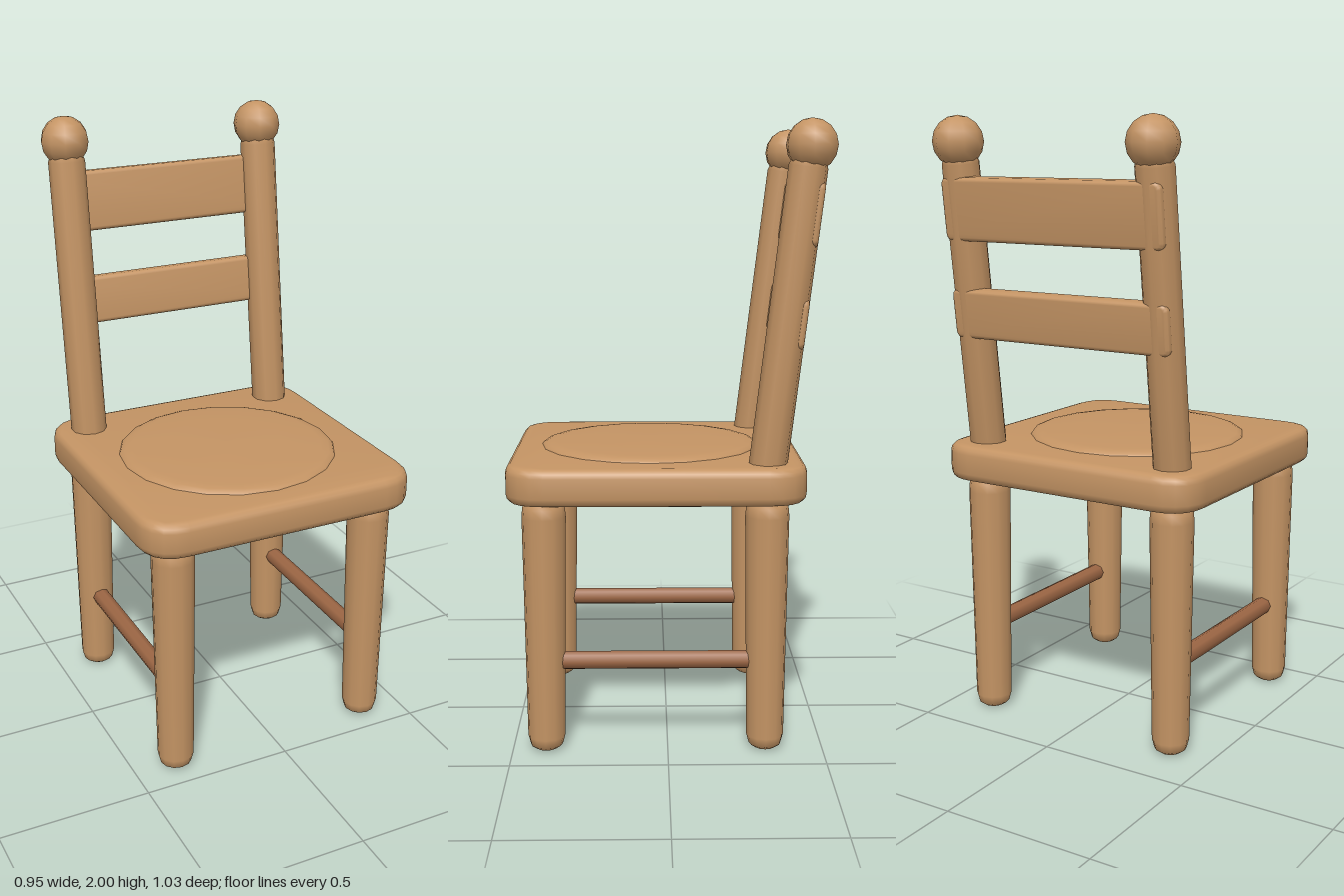
import * as THREE from 'three';
import { toCreasedNormals } from 'three/addons/utils/BufferGeometryUtils.js';

const wood = new THREE.MeshStandardMaterial({ color: 0xc49464 });
wood.name = 'wood';
const darkWood = new THREE.MeshStandardMaterial({ color: 0x9c6644 });
darkWood.name = 'darkWood';

function lathe(points, sides) {
  return new THREE.LatheGeometry(points.map(([r, y]) => new THREE.Vector2(r, y)), sides);
}

// Box with rounded corners in plan and softened edges, extruded along z and centred
function softSlab(w, h, d, corner, bevel) {
  const x = w / 2 - bevel, y = h / 2 - bevel, c = corner;
  const s = new THREE.Shape();
  s.moveTo(-x + c, -y);
  s.lineTo(x - c, -y);
  s.quadraticCurveTo(x, -y, x, -y + c);
  s.lineTo(x, y - c);
  s.quadraticCurveTo(x, y, x - c, y);
  s.lineTo(-x + c, y);
  s.quadraticCurveTo(-x, y, -x, y - c);
  s.lineTo(-x, -y + c);
  s.quadraticCurveTo(-x, -y, -x + c, -y);
  const g = new THREE.ExtrudeGeometry(s, {
    depth: d - 2 * bevel, bevelEnabled: true, bevelSize: bevel,
    bevelThickness: bevel, bevelSegments: 3, curveSegments: 5,
  });
  g.translate(0, 0, -d / 2 + bevel);
  return toCreasedNormals(g, 0.7);
}

export function createModel() {
  const chair = new THREE.Group();
  chair.name = 'chair';
  const add = (name, geometry, material, x, y, z) => {
    const mesh = new THREE.Mesh(geometry, material);
    mesh.name = name;
    mesh.position.set(x, y, z);
    chair.add(mesh);
    return mesh;
  };

  // Seat slab and its low domed pad
  const seat = add('seat', softSlab(0.95, 0.95, 0.12, 0.1, 0.028), wood, 0, 0.88, 0.036);
  seat.rotation.x = -Math.PI / 2;
  const pad = lathe([[0.365, 0], [0.36, 0.008], [0.345, 0.014], [0.32, 0.018], [0.2, 0.024], [0, 0.027]], 20);
  add('seatPad', pad, wood, 0, 0.938, 0.055);

  // Tapered legs with rounded ends
  const leg = lathe([[0, 0], [0.035, 0.003], [0.052, 0.015], [0.06, 0.045],
    [0.07, 0.77], [0.067, 0.8], [0.055, 0.822], [0, 0.828]], 12);
  // Leaning back posts: one slope drives posts and slats
  const lean = Math.atan(0.121);
  const postZ = (y) => -0.315 - 0.121 * (y - 0.93);
  const post = lathe([[0, 0], [0.061, 0], [0.061, 0.94], [0.05, 0.97], [0, 0.98]], 10);

  for (const [side, s] of [['left', 1], ['right', -1]]) {
    const x = s * 0.355;
    add(side + 'FrontLeg', leg, wood, x, 0, 0.392);
    add(side + 'BackLeg', leg, wood, x, 0, -0.315);
    add(side + 'BackPost', post, wood, x, 0.92, postZ(0.92)).rotation.x = -lean;
    add(side + 'Finial', new THREE.SphereGeometry(0.081, 10, 8), wood, x, 1.919, -0.437);
    // Side stretcher between front and back legs
    const bar = new THREE.CylinderGeometry(0.03, 0.03, 0.68, 8);
    add(side + 'Stretcher', bar, darkWood, x, 0.296, 0.038).rotation.x = Math.PI / 2;
  }

  // Back slats set slightly behind the posts' axis
  for (const [name, y, h] of [['upperSlat', 1.712, 0.2], ['lowerSlat', 1.378, 0.16]]) {
    const slat = add(name, softSlab(0.8, h, 0.055, 0.012, 0.012), wood, 0, y, postZ(y) - 0.03);
    slat.rotation.x = -lean;
  }
  return chair;
}
